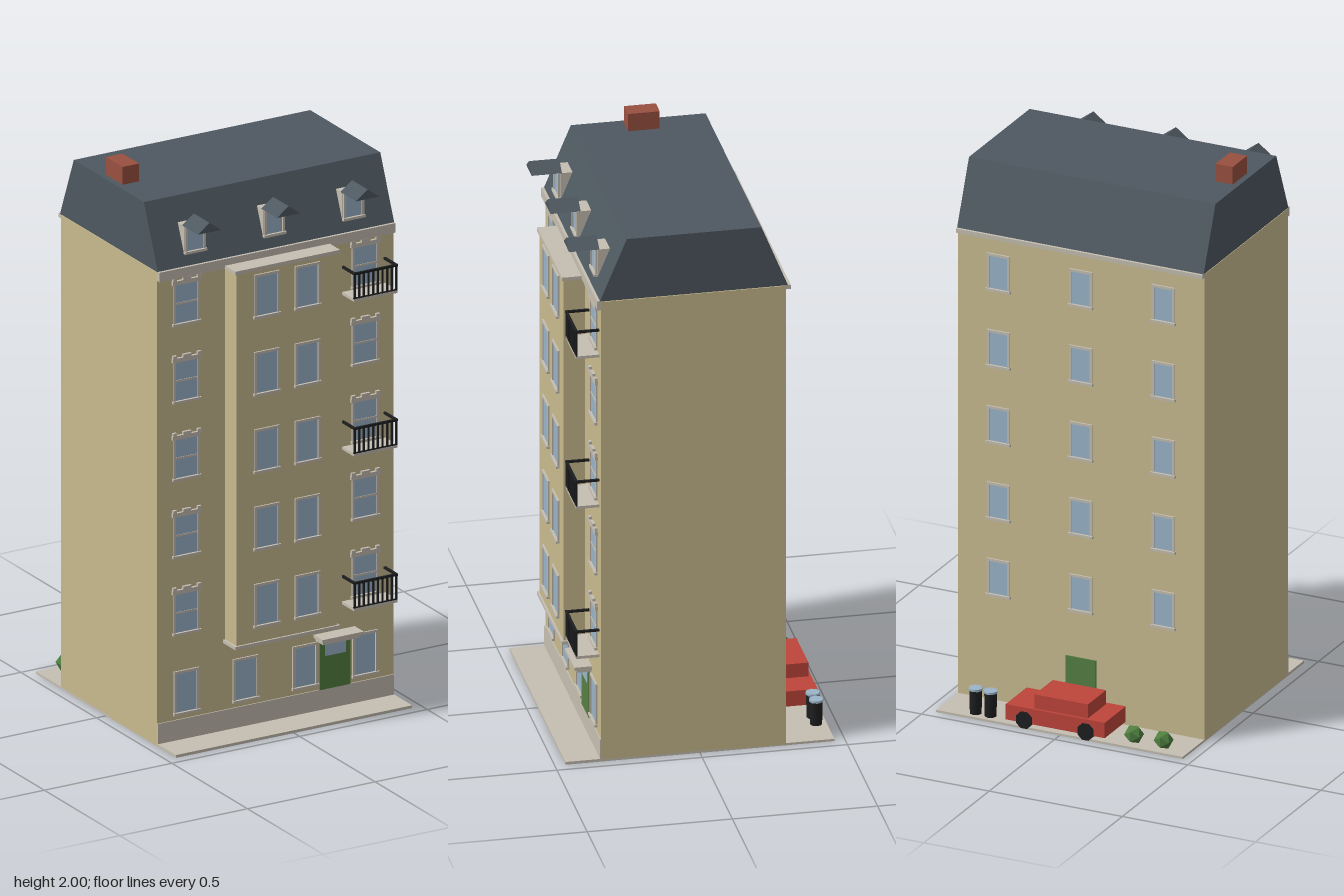
import * as THREE from 'three';

const mat = (name, color) => {
  const m = new THREE.MeshStandardMaterial({ color });
  m.name = name;
  return m;
};

export function createModel() {
  const root = new THREE.Group();
  root.name = 'townhouse';
  const wall = mat('sandstone', 0xc9bb8f), stone = mat('pale stone', 0xc5beb1);
  const slate = mat('slate', 0x4e5860), glass = mat('window glass', 0x9ab4c8);
  const brick = mat('chimney brick', 0x985040), green = mat('door green', 0x557f42);
  const leaf = mat('leaf green', 0x4f7f40), red = mat('car red', 0xbe443a), black = mat('black iron', 0x1d1e20);

  const add = (parent, name, geometry, material, x = 0, y = 0, z = 0) => {
    const mesh = new THREE.Mesh(geometry, material);
    mesh.name = name;
    mesh.position.set(x, y, z);
    parent.add(mesh);
    return mesh;
  };
  // box given by its limits on each axis
  const box = (parent, name, material, x0, x1, y0, y1, z0, z1) =>
    add(parent, name, new THREE.BoxGeometry(x1 - x0, y1 - y0, z1 - z0), material,
      (x0 + x1) / 2, (y0 + y1) / 2, (z0 + z1) / 2);
  const group = (parent, name, x = 0, y = 0, z = 0) => {
    const g = new THREE.Group();
    g.name = name;
    g.position.set(x, y, z);
    parent.add(g);
    return g;
  };
  const extrude = (points, depth) => new THREE.ExtrudeGeometry(
    new THREE.Shape(points.map(p => new THREE.Vector2(...p))), { depth, bevelEnabled: false });
  // prism along x from a [z, y] outline
  const sidePrism = (points, width) =>
    extrude(points.map(([z, y]) => [-z, y]), width).rotateY(Math.PI / 2).translate(-width / 2, 0, 0);

  const W = 0.463;

  // ground, main block, plinth and cornices
  box(root, 'pavement', stone, -W, W, 0, 0.01, 0.34, 0.463);
  box(root, 'yard', stone, -W, W, 0, 0.008, -0.463, 0.34);
  box(root, 'mainWalls', wall, -W, W, 0.004, 1.71, -0.297, 0.34);
  box(root, 'plinth', stone, -W, W, 0.01, 0.083, 0.34, 0.344);
  box(root, 'frontCornice', stone, -W, W, 1.68, 1.714, 0.34, 0.354);
  box(root, 'backCornice', stone, -W, W, 1.697, 1.712, -0.313, -0.297);

  // projecting bay with its ledges
  box(root, 'bay', wall, -0.197, 0.197, 0.335, 1.678, 0.34, 0.415);
  box(root, 'bayBottomLedge', stone, -0.205, 0.205, 0.324, 0.336, 0.34, 0.422);
  box(root, 'bayTopLedge', stone, -0.205, 0.205, 1.677, 1.69, 0.34, 0.422);

  // mansard roof and chimney
  add(root, 'mansardRoof', sidePrism(
    [[0.345, 1.712], [0.252, 1.936], [-0.212, 1.936], [-0.303, 1.712]], 2 * W), slate);
  box(root, 'chimney', brick, -0.441, -0.376, 1.9, 2, -0.036, 0.074);

  // window: y is the sill level, facing +z in its own group
  function addWindow(parent, x, y, z, { w = 0.08, h = 0.14, bar = false, crown = false, back = false } = {}) {
    const g = group(parent, 'window', x, y, z), a = w / 2, f = 0.009;
    if (back) g.rotation.y = Math.PI;
    box(g, 'pane', glass, -a, a, f, f + h, -0.002, 0.002);
    for (const s of [-1, 1])
      box(g, 'jamb', stone, s * (a + f / 2) - f / 2, s * (a + f / 2) + f / 2, f, f + h, -0.002, 0.006);
    box(g, 'head', stone, -a - f, a + f, f + h, 2 * f + h, -0.002, 0.006);
    box(g, 'sill', stone, -a - 0.012, a + 0.012, 0, f, -0.002, 0.011);
    if (bar) box(g, 'sashBar', stone, -a, a, f + h * 0.48, f + h * 0.53, -0.002, 0.004);
    if (crown) {
      // lintel with three raised blocks
      box(g, 'lintel', stone, -a - 0.014, a + 0.014, f + h, h + 0.024, -0.002, 0.01);
      for (const [c, r] of [[-a - 0.005, 0.007], [0, 0.016], [a + 0.005, 0.007]])
        box(g, 'lintelBlock', stone, c - r, c + r, h + 0.024, h + 0.034, -0.002, 0.01);
    }
    return g;
  }

  // front and back window rows
  for (const x of [-0.35, -0.118, 0.115, 0.35]) addWindow(root, x, 0.1, 0.34);
  for (let i = 0; i < 5; i++) {
    const y = 0.388 + i * 0.279;
    for (const s of [-1, 1]) {
      addWindow(root, s * 0.35, y, 0.34, { w: 0.086, bar: true, crown: true });
      addWindow(root, s * 0.08, y, 0.415);
    }
    for (const x of [-0.31, 0, 0.31]) addWindow(root, x, y, -0.297, { w: 0.068, h: 0.118, back: true });
  }

  // doors and canopy
  box(root, 'frontDoor', green, 0.17, 0.29, 0.083, 0.252, 0.34, 0.347);
  box(root, 'transomPane', glass, 0.19, 0.272, 0.203, 0.245, 0.346, 0.349);
  box(root, 'doorCanopy', stone, 0.157, 0.303, 0.262, 0.273, 0.34, 0.39);
  box(root, 'canopyTop', stone, 0.15, 0.311, 0.273, 0.285, 0.34, 0.4);
  box(root, 'backDoor', green, -0.057, 0.057, 0.008, 0.222, -0.302, -0.297);

  // iron balconies
  for (const y of [0.374, 0.932, 1.49]) {
    const g = group(root, 'balcony', 0.346, y, 0);
    box(g, 'floorSlab', stone, -0.085, 0.085, 0, 0.01, 0.34, 0.42);
    box(g, 'frontRail', black, -0.086, 0.086, 0.096, 0.104, 0.414, 0.422);
    box(g, 'bottomRail', black, -0.086, 0.086, 0.01, 0.014, 0.416, 0.42);
    for (const s of [-1, 1])
      box(g, 'sideRail', black, s * 0.082 - 0.004, s * 0.082 + 0.004, 0.096, 0.104, 0.34, 0.42);
    for (let i = 0; i < 10; i++) {
      const x = -0.082 + i * 0.164 / 9;
      box(g, 'baluster', black, x - 0.003, x + 0.003, 0.01, 0.098, 0.415, 0.421);
    }
  }

  // dormers
  for (const x of [-0.31, 0, 0.31]) {
    const g = group(root, 'dormer', x, 0, 0);
    add(g, 'dormerBody', sidePrism([[0.328, 1.74], [0.328, 1.853], [0.28, 1.853], [0.28, 1.74]], 0.082), stone);
    addWindow(g, 0, 1.753, 0.331, { w: 0.062, h: 0.08 });
    add(g, 'dormerRoof', extrude([[-0.046, 1.855], [0.046, 1.855], [0, 1.889]], 0.104), slate, 0, 0, 0.324);
  }

  // parked car
  const car = group(root, 'car');
  box(car, 'carBody', red, -0.168, 0.204, 0.02, 0.076, -0.459, -0.298);
  box(car, 'carCabin', red, -0.1, 0.1, 0.076, 0.127, -0.449, -0.31);
  for (const x of [-0.097, 0.134]) for (const z of [-0.452, -0.31])
    add(car, 'wheel', new THREE.CylinderGeometry(0.032, 0.032, 0.024, 8)
      .rotateY(Math.PI / 8).rotateX(Math.PI / 2), black, x, 0.031, z);

  // bins
  for (const x of [0.276, 0.332]) {
    add(root, 'bin', new THREE.CylinderGeometry(0.023, 0.021, 0.085, 8), black, x, 0.05, -0.427);
    add(root, 'binLid', new THREE.CylinderGeometry(0.025, 0.025, 0.008, 8), glass, x, 0.097, -0.427);
  }

  // shrubs
  leaf.flatShading = true;
  for (const x of [-0.371, -0.26])
    add(root, 'shrub', new THREE.IcosahedronGeometry(0.034, 0), leaf, x, 0.038, -0.422);

  return root;
}
